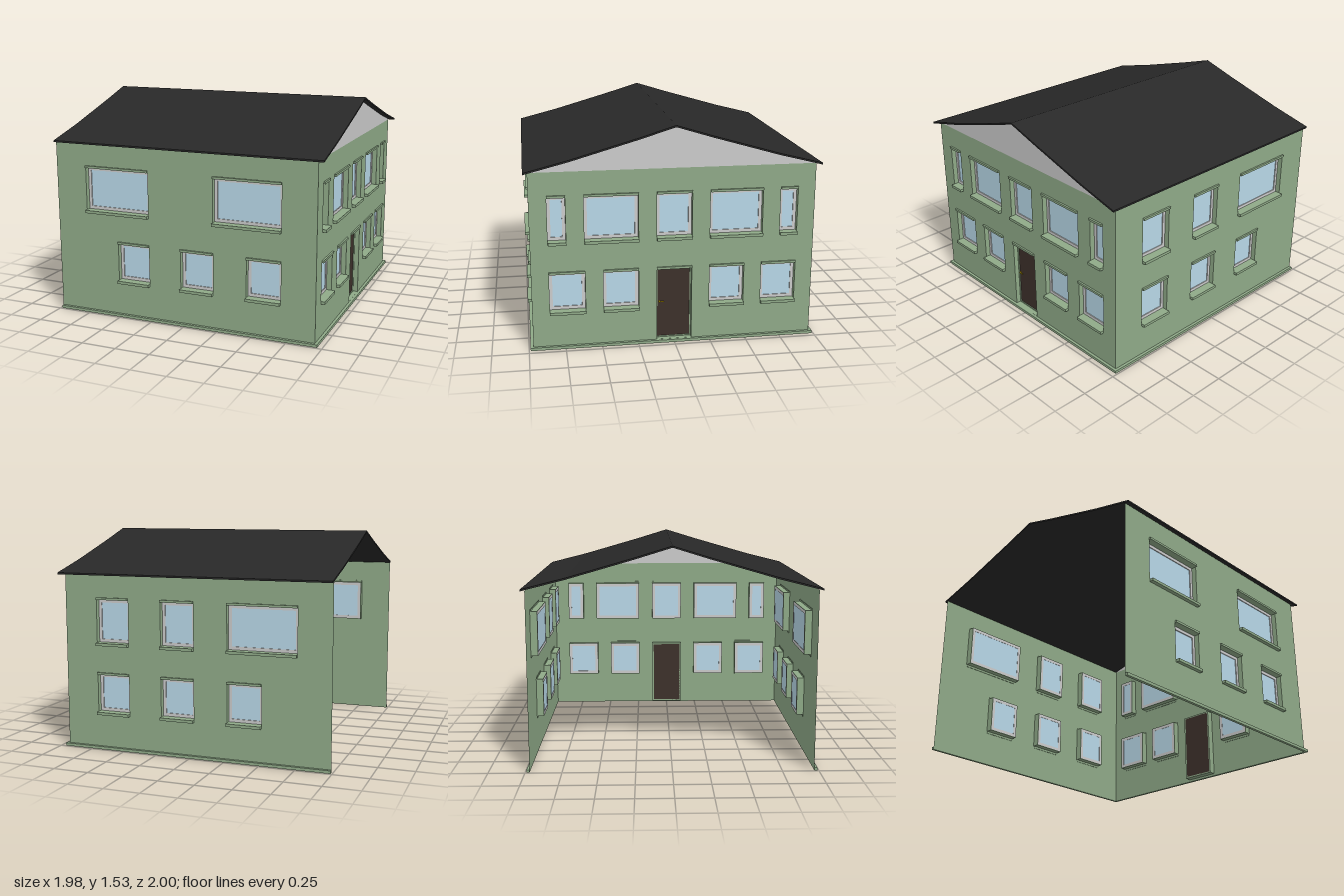
import * as THREE from 'three';

const mat = (color, side = THREE.FrontSide) => new THREE.MeshStandardMaterial({ color, side });
const GREEN = mat(0x8faa88), WALL = mat(0x8faa88, THREE.DoubleSide), GREY = mat(0xcccccc);
const GABLE = mat(0xcccccc, THREE.DoubleSide), GLASS = mat(0xb8d8e8), ROOF = mat(0x282828);
const DOOR = mat(0x3d312b), BRASS = mat(0xd4b000);

const X0 = -0.99, X1 = 0.945, ZW = 0.97, EAVE = 1.24, DEPTH = 0.05;
const UP = [0.764, 1.066], LOW = [0.27, 0.536];

function add(parent, name, geometry, material, x = 0, y = 0, z = 0) {
  const m = new THREE.Mesh(geometry, material);
  m.name = name;
  m.position.set(x, y, z);
  parent.add(m);
  return m;
}

// Box given by its limits on each axis
function block(parent, name, material, x0, x1, y0, y1, z0, z1) {
  return add(parent, name, new THREE.BoxGeometry(x1 - x0, y1 - y0, z1 - z0), material,
    (x0 + x1) / 2, (y0 + y1) / 2, (z0 + z1) / 2);
}

function rect(Type, x0, x1, y0, y1) {
  return new Type([[x0, y0], [x1, y0], [x1, y1], [x0, y1]].map(p => new THREE.Vector2(...p)));
}

// Rectangular ring; t > 0 grows inwards from the given limits, t < 0 outwards
function ring(x0, x1, y0, y1, t, depth) {
  const a = Math.min(t, 0), b = Math.max(t, 0);
  const s = rect(THREE.Shape, x0 + a, x1 - a, y0 + a, y1 - a);
  s.holes.push(rect(THREE.Path, x0 + b, x1 - b, y0 + b, y1 - b));
  return new THREE.ExtrudeGeometry(s, { depth, bevelEnabled: false });
}

// Recess lining and lintel shared by windows and the door
function opening(parent, name, x0, x1, y0, y1) {
  const g = new THREE.Group();
  g.name = name;
  parent.add(g);
  add(g, 'reveal', ring(x0, x1, y0, y1, -0.004, DEPTH), GREEN, 0, 0, -DEPTH);
  block(g, 'lintel', GREEN, x0, x1, y1, y1 + 0.016, -0.004, 0.013);
  return g;
}

function addWindow(parent, [x0, x1, y0, y1]) {
  const g = opening(parent, 'window', x0, x1, y0, y1);
  add(g, 'windowFrame', ring(x0, x1, y0, y1, 0.022, 0.014), GREY, 0, 0, -DEPTH);
  block(g, 'glass', GLASS, x0 + 0.02, x1 - 0.02, y0 + 0.02, y1 - 0.02, -DEPTH + 0.002, -DEPTH + 0.008);
  block(g, 'sill', GREEN, x0, x1, y0 - 0.02, y0, -0.004, 0.027);
}

function addDoor(parent, [x0, x1, y0, y1]) {
  const g = opening(parent, 'door', x0, x1, y0, y1);
  add(g, 'doorFrame', ring(x0, x1, y0, y1, 0.008, 0.016), GREEN, 0, 0, -DEPTH);
  block(g, 'doorLeaf', DOOR, x0 + 0.006, x1 - 0.006, y0 + 0.006, y1 - 0.006, -DEPTH, -DEPTH + 0.01);
  block(g, 'handlePlate', BRASS, x0 + 0.016, x0 + 0.026, 0.28, 0.29, -DEPTH + 0.01, -DEPTH + 0.022);
  block(g, 'handleLever', BRASS, x0 + 0.016, x0 + 0.055, 0.283, 0.288, -DEPTH + 0.018, -DEPTH + 0.023);
}

// Thin wall sheet facing local +z, with its openings and plinth
function addWall(parent, name, u0, u1, windows, door, p0, p1) {
  const g = new THREE.Group();
  g.name = name;
  const s = rect(THREE.Shape, u0, u1, 0, EAVE);
  for (const o of door ? [...windows, door] : windows) s.holes.push(rect(THREE.Path, ...o));
  add(g, 'wallSheet', new THREE.ShapeGeometry(s), WALL);
  block(g, 'plinth', GREEN, p0, p1, 0, 0.02, 0, 0.02);
  windows.forEach(w => addWindow(g, w));
  if (door) addDoor(g, door);
  parent.add(g);
  return g;
}

export function createModel() {
  const model = new THREE.Group();
  model.name = 'house';

  // Front wall
  const front = addWall(model, 'frontWall', X0, X1, [
    [-0.755, -0.268, ...UP], [0.216, 0.703, ...UP],
    [-0.511, -0.268, ...LOW], [-0.027, 0.216, ...LOW], [0.459, 0.703, ...LOW],
  ], null, X0, X1 + 0.02);
  front.position.z = ZW;

  // Back wall, running from +x to -x in its own frame
  const back = addWall(model, 'backWall', -X1, -X0, [
    [-0.703, -0.459, ...UP], [-0.216, 0.027, ...UP], [0.268, 0.755, ...UP],
    [-0.703, -0.459, ...LOW], [-0.216, 0.027, ...LOW], [0.268, 0.511, ...LOW],
  ], null, -X1 - 0.02, -X0);
  back.position.z = -ZW;
  back.rotation.y = Math.PI;

  // Entrance wall at +x, symmetric about the door; the -x side stays open
  const sideWindows = [[-0.121, 0.121, ...UP]];
  for (const [a, b, h] of [[0.244, 0.608, UP], [0.73, 0.851, UP], [0.244, 0.486, LOW], [0.608, 0.851, LOW]])
    sideWindows.push([a, b, ...h], [-b, -a, ...h]);
  const side = addWall(model, 'entranceWall', -ZW, ZW, sideWindows,
    [-0.121, 0.121, 0.021, 0.536], -ZW - 0.02, ZW + 0.02);
  side.position.x = X1;
  side.rotation.y = Math.PI / 2;

  // Gently curved roof line, from eave to eave
  const half = [[1, 1.249], [0.7, 1.325], [0.25, 1.455], [0, 1.532]];
  const line = [...half.map(([z, y]) => [-z, y]), ...half.slice(0, 3).reverse()];
  const under = line.map(([z, y]) => [z, y - 0.012]);
  const toShape = pts => new THREE.Shape(pts.map(p => new THREE.Vector2(...p)));

  // Roof sheet swept along x
  const roofGeo = new THREE.ExtrudeGeometry(toShape([...line, ...under.reverse()]), { depth: 1.98, bevelEnabled: false });
  const roof = add(model, 'roof', roofGeo, ROOF, -0.99);
  roof.rotation.y = Math.PI / 2;

  // Gable panel above the entrance wall
  const gableLine = line.map(([z, y]) => [z * 0.99, Math.max(y - 0.006, EAVE)]);
  const gable = add(model, 'gable', new THREE.ShapeGeometry(
    toShape([[-0.99, EAVE], ...gableLine, [0.99, EAVE]])), GABLE, X1);
  gable.rotation.y = Math.PI / 2;

  return model;
}
